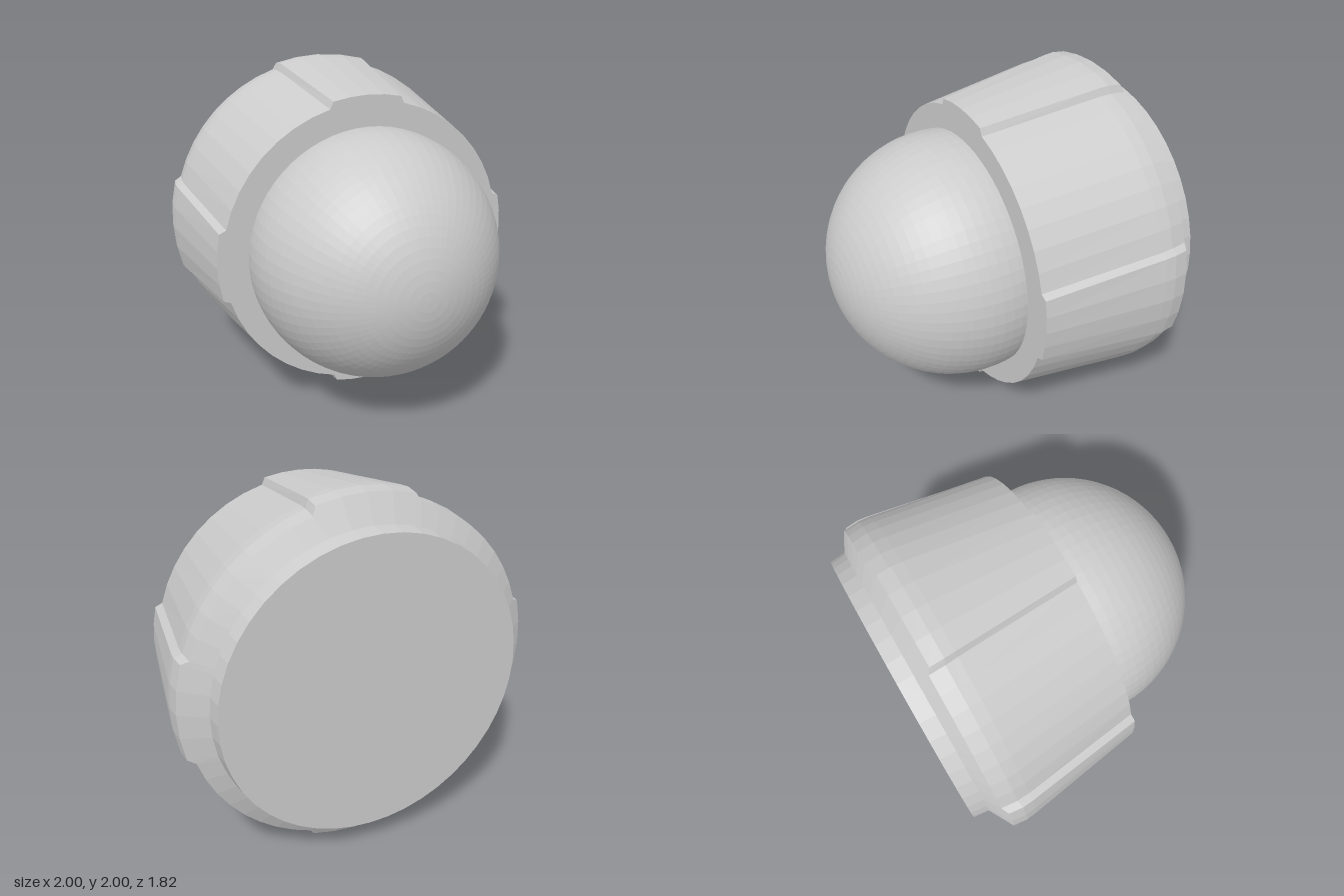
import * as THREE from 'three';

const material = new THREE.MeshStandardMaterial({ color: 0xcccccc, flatShading: true });

// Axial profiles, front to back: [radius, z]
const raised = [[0, 0.1], [0.895, 0.1], [0.995, -0.6], [1.0, -0.66], [0.99, -0.74], [0.845, -0.82]];
const recessed = [[0, 0.1], [0.86, 0.1], [0.96, -0.6], [0.965, -0.67], [0.955, -0.76], [0.845, -0.82]];

// Half angles (degrees) of a raised pad at its crest and at its foot, front to back
const crestHalf = [13, 13, 15.4, 15.6, 15.7, 15.7];
const footHalf = [14.8, 14.8, 17, 17.3, 17.5, 17.5];

// Collar with four raised pads, built from columns of points around the z axis
function collarGeometry() {
  const padSegments = 4, gapSegments = 8;
  const columns = [];
  const addColumn = (profile, angleAt) => columns.push(profile.map(([r, z], i) => {
    const a = THREE.MathUtils.degToRad(angleAt(i));
    return [r * Math.cos(a), r * Math.sin(a), z];
  }));
  for (let q = 0; q < 4; q++) {
    const mid = q * 90;
    for (let s = 0; s <= padSegments; s++) {
      addColumn(raised, i => mid + crestHalf[i] * (2 * s / padSegments - 1));
    }
    for (let s = 0; s <= gapSegments; s++) {
      addColumn(recessed, i => mid + footHalf[i] + (90 - 2 * footHalf[i]) * s / gapSegments);
    }
  }
  const positions = [];
  columns.forEach((col, j) => {
    const next = columns[(j + 1) % columns.length];
    for (let i = 0; i < col.length - 1; i++) {
      positions.push(...col[i], ...col[i + 1], ...next[i + 1]);
      if (i > 0) positions.push(...col[i], ...next[i + 1], ...next[i]);
    }
  });
  const geometry = new THREE.BufferGeometry();
  geometry.setAttribute('position', new THREE.Float32BufferAttribute(positions, 3));
  geometry.computeVertexNormals();
  return geometry;
}

export function createModel() {
  const group = new THREE.Group();
  group.name = 'domedCap';
  const add = (name, geometry, z = 0) => {
    const mesh = new THREE.Mesh(geometry, material);
    mesh.name = name;
    mesh.position.set(0, 1, z);
    group.add(mesh);
  };

  // Rounded nose, its pole facing forward and its rim sunk into the collar
  const dome = new THREE.SphereGeometry(0.722, 64, 22, 0, Math.PI * 2, 0, Math.PI * 0.55);
  dome.rotateX(Math.PI / 2);
  add('dome', dome, 0.187);

  add('collar', collarGeometry());

  // Slightly tapered rear disc
  const plate = new THREE.CylinderGeometry(0.847, 0.835, 0.092, 48);
  plate.rotateX(Math.PI / 2);
  add('backPlate', plate, -0.863);

  return group;
}
